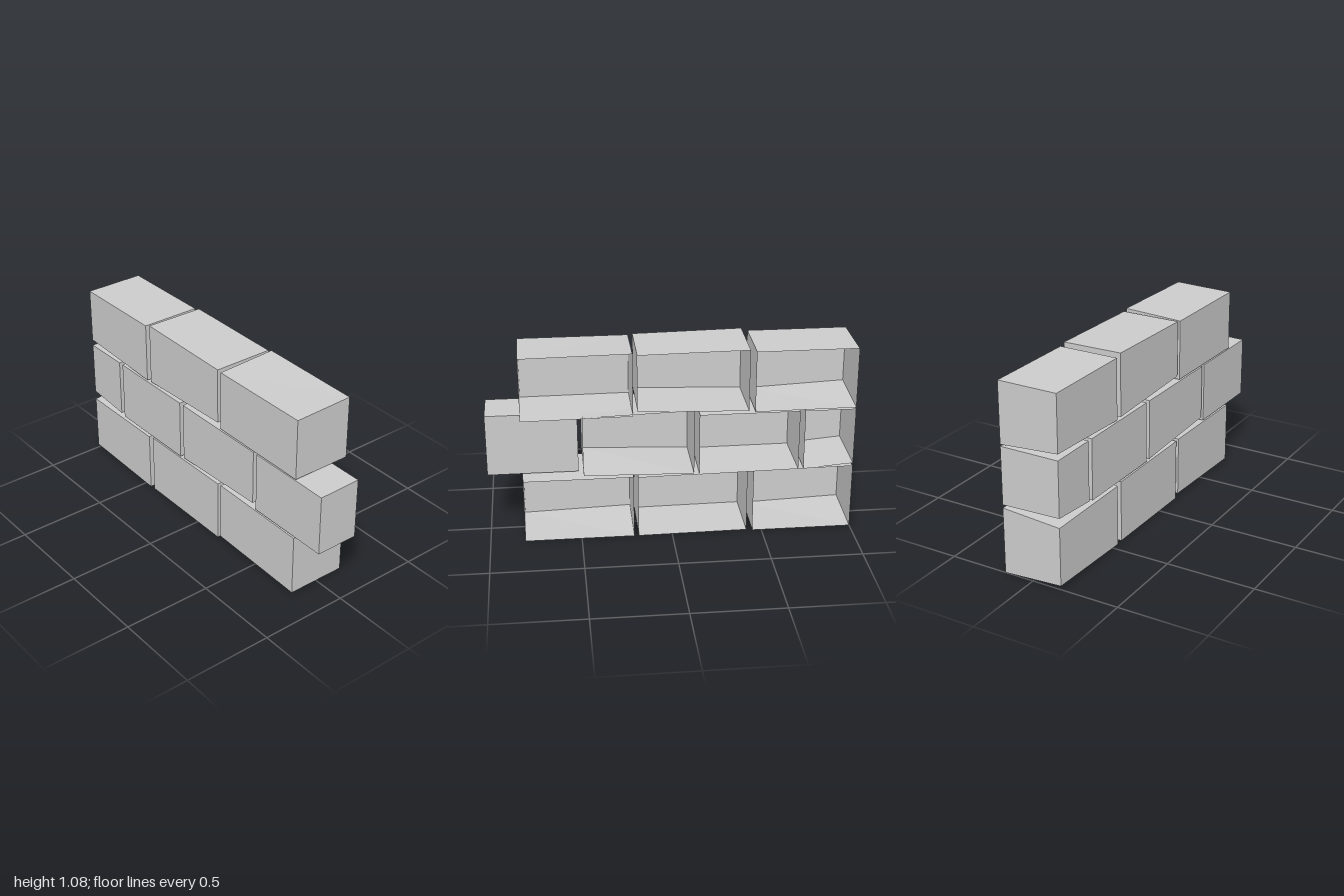
import * as THREE from 'three';

const FRONT = 0.17, BACK = -0.17;

// One hollow brick; bottom and top heights are listed
// as [front -x, front +x, back -x, back +x]
function makeBrick(name, x0, x1, bottom, top, back = BACK, closed = false) {
  const at = (i, h) => [i % 2 ? x1 : x0, h[i], i < 2 ? FRONT : back];
  const b = [0, 1, 2, 3].map((i) => at(i, bottom));
  const t = [0, 1, 2, 3].map((i) => at(i, top));
  const walls = [
    [b[0], b[1], t[1], t[0]], // front
    [b[1], b[3], t[3], t[1]], // +x end
    [b[2], b[0], t[0], t[2]], // -x end
    [t[0], t[1], t[3], t[2]], // top
    [b[2], b[3], b[1], b[0]], // bottom
  ];
  if (closed) walls.push([b[3], b[2], t[2], t[3]]);

  const points = walls.flatMap(([p, q, r, s]) => [p, q, r, p, r, s]).flat();
  const geometry = new THREE.BufferGeometry();
  geometry.setAttribute('position', new THREE.Float32BufferAttribute(points, 3));
  geometry.computeVertexNormals();
  const mesh = new THREE.Mesh(geometry, new THREE.MeshStandardMaterial({
    color: 0xcccccc, flatShading: true, side: THREE.DoubleSide,
  }));
  mesh.name = name;
  return mesh;
}

export function createModel() {
  const wall = new THREE.Group();
  wall.name = 'brickWall';

  // Rows from the ground up, bricks from -x to +x
  const rows = {
    bottomRow: [
      [-1, -0.45, [0.02, 0, 0, 0], [0.345, 0.345, 0.37, 0.365]],
      [-0.415, 0.185, [0.005, 0, 0.005, 0], [0.355, 0.357, 0.365, 0.357]],
      [0.21, 0.81, [0.02, 0.002, 0, 0], [0.36, 0.355, 0.36, 0.36]],
    ],
    middleRow: [
      [-1, -0.725, [0.398, 0.375, 0.388, 0.367], [0.71, 0.71, 0.71, 0.71]],
      [-0.695, -0.15, [0.367, 0.365, 0.367, 0.36], [0.71, 0.71, 0.71, 0.71]],
      [-0.12, 0.48, [0.37, 0.395, 0.367, 0.382], [0.71, 0.71, 0.738, 0.722]],
      // shallow closed end brick
      [0.505, 1, [0.367, 0.367, 0.367, 0.367], [0.71, 0.71, 0.714, 0.714], -0.075, true],
    ],
    topRow: [
      [-1, -0.45, [0.745, 0.72, 0.72, 0.718], [1.06, 1.06, 1.06, 1.06]],
      [-0.415, 0.185, [0.725, 0.748, 0.725, 0.745], [1.075, 1.065, 1.072, 1.065]],
      [0.21, 0.81, [0.72, 0.717, 0.72, 0.715], [1.06, 1.06, 1.075, 1.068]],
    ],
  };

  for (const [rowName, bricks] of Object.entries(rows)) {
    const row = new THREE.Group();
    row.name = rowName;
    bricks.forEach((brick, i) => row.add(makeBrick(`brick${i + 1}`, ...brick)));
    wall.add(row);
  }
  return wall;
}
